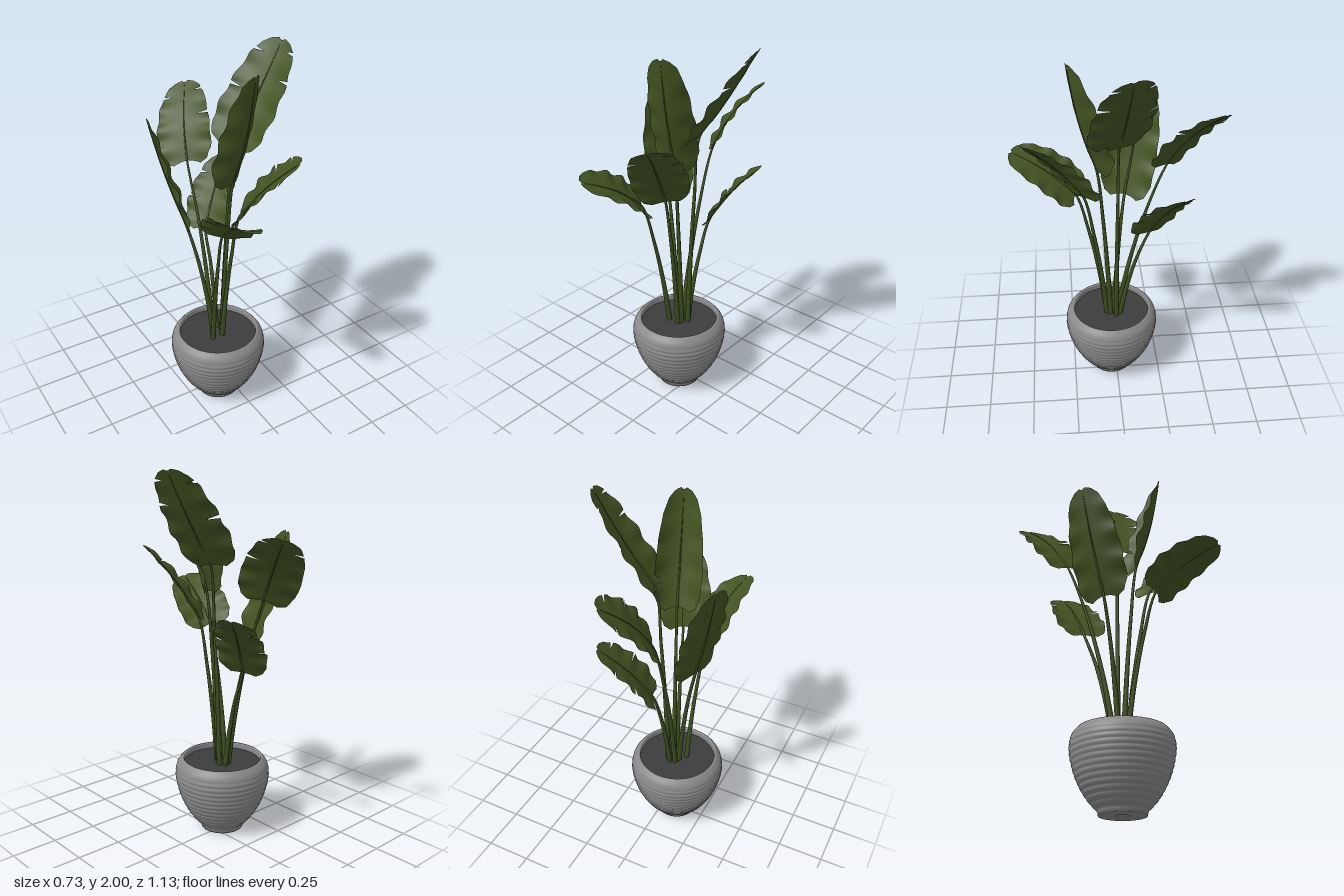
import * as THREE from 'three';

const V = (x, y, z) => new THREE.Vector3(x, y, z);
const material = (name, color, side = THREE.FrontSide) => {
  const m = new THREE.MeshStandardMaterial({ color, side });
  m.name = name;
  return m;
};

// Half-width of a blade from its base (0) to its blunt tip (1)
const OUTLINE = [[0, 0.5], [0.04, 0.78], [0.15, 0.96], [0.35, 1], [0.6, 0.92], [0.8, 0.77], [0.92, 0.57], [0.98, 0.33], [1, 0.1]];
function outline(t) {
  let i = 1;
  while (i < OUTLINE.length - 1 && OUTLINE[i][0] < t) i++;
  const [t0, w0] = OUTLINE[i - 1], [t1, w1] = OUTLINE[i];
  return THREE.MathUtils.lerp(w0, w1, (t - t0) / (t1 - t0));
}

// Local frame of a leaf: spine direction, sideways vector and upper normal
function frameOf(leaf) {
  const base = V(...leaf.base), axis = V(...leaf.tip).sub(base);
  const dir = axis.clone().normalize();
  const side = V(...leaf.side);
  side.addScaledVector(dir, -side.dot(dir)).normalize();
  const normal = new THREE.Vector3().crossVectors(side, dir);
  if (normal.y < 0) normal.negate();
  const spine = t => base.clone().addScaledVector(axis, t).addScaledVector(normal, leaf.bend * Math.sin(Math.PI * t));
  return { dir, side, normal, spine };
}

// Cupped, rippled blade with narrow tears along the edges
function bladeGeometry(leaf, f, seed) {
  const rows = 72, cols = 14, pos = [], index = [];
  for (let i = 0; i <= rows; i++) {
    const t = i / rows;
    for (let j = 0; j <= cols; j++) {
      const u = j / cols * 2 - 1;
      const torn = leaf.tears.some(s => Math.sign(s) === Math.sign(u) && Math.round(Math.abs(s) * rows) === i);
      const reach = u * leaf.width * outline(t) * (torn ? 0.55 : 1);
      const ratio = reach / leaf.width;
      const ripple = 0.01 * ratio * ratio * Math.sin(t * 25 + seed * 2 + (u > 0 ? 1.7 : 0));
      const p = f.spine(t)
        .addScaledVector(f.side, reach)
        .addScaledVector(f.normal, leaf.cup * ratio * ratio + ripple)
        .addScaledVector(f.dir, 0.03 * u * u * (t - 0.7));
      pos.push(p.x, p.y, p.z);
      if (i < rows && j < cols) {
        const k = i * (cols + 1) + j, n = k + cols + 1;
        index.push(k, k + 1, n, k + 1, n + 1, n);
      }
    }
  }
  const g = new THREE.BufferGeometry();
  g.setAttribute('position', new THREE.Float32BufferAttribute(pos, 3));
  g.setIndex(index);
  g.computeVertexNormals();
  return g;
}

// Tapered stalk that runs on as the midrib of the blade
function stalkGeometry(leaf, f) {
  const root = V(...leaf.root), base = f.spine(0);
  const along = (h, y) => V(
    THREE.MathUtils.lerp(root.x, base.x, h), THREE.MathUtils.lerp(root.y, base.y, y), THREE.MathUtils.lerp(root.z, base.z, h));
  const points = [root, along(0.24, 0.35), along(0.58, 0.7), base];
  for (const t of [0.25, 0.5, 0.75, 0.96]) points.push(f.spine(t));
  const curve = new THREE.CatmullRomCurve3(points);
  const segments = 60, sides = 8;
  const g = new THREE.TubeGeometry(curve, segments, 1, sides);
  const p = g.attributes.position, v = new THREE.Vector3();
  for (let i = 0; i <= segments; i++) {
    const s = i / segments, c = curve.getPointAt(s);
    const r = 0.0155 - 0.0138 * s;
    for (let j = 0; j <= sides; j++) {
      const k = i * (sides + 1) + j;
      v.fromBufferAttribute(p, k).sub(c).multiplyScalar(r).add(c);
      p.setXYZ(k, v.x, v.y, v.z);
    }
  }
  return g;
}

// Ribbed pot: recessed drain hole, foot, ringed wall, rounded rim, inner wall
function potGeometry() {
  const wall = new THREE.SplineCurve([
    [0.122, 0.02], [0.168, 0.07], [0.207, 0.13], [0.238, 0.2], [0.258, 0.275], [0.264, 0.335], [0.254, 0.385], [0.232, 0.415],
  ].map(p => new THREE.Vector2(...p)));
  const pts = [[0, 0.02], [0.035, 0.02], [0.035, 0], [0.118, 0]].map(p => new THREE.Vector2(...p));
  const steps = 112;
  for (let i = 0; i <= steps; i++) {
    const p = wall.getPoint(i / steps);
    const fade = THREE.MathUtils.clamp((0.39 - p.y) / 0.05, 0, 1);
    p.x += fade * (0.004 * Math.abs(Math.sin(p.y * Math.PI / 0.028)) - 0.003);
    pts.push(p);
  }
  for (const p of [[0.226, 0.421], [0.219, 0.421], [0.214, 0.415], [0.215, 0.37]]) pts.push(new THREE.Vector2(...p));
  return new THREE.LatheGeometry(pts, 64);
}

// Negative tear positions lie on one edge, positive on the other
const LEAVES = [
  { name: 'tallRightLeaf', root: [-0.03, 0.36, 0.0], base: [0.045, 1.52, -0.01], tip: [0.35, 1.99, -0.05],
    side: [0.35, 0, 1], width: 0.17, cup: 0.035, bend: -0.01, tears: [-0.85, 0.66, -0.5, 0.9] },
  { name: 'tallFrontLeaf', root: [-0.05, 0.36, 0.03], base: [-0.025, 1.36, 0.1], tip: [0.01, 1.945, 0.235],
    side: [1, 0, -0.4], width: 0.12, cup: 0.075, bend: -0.02, tears: [] },
  { name: 'backLeaf', root: [-0.08, 0.36, -0.01], base: [-0.08, 1.35, -0.27], tip: [0.06, 1.68, -0.53],
    side: [1, 0.85, 0.4], width: 0.155, cup: 0.01, bend: 0.03, tears: [0.55, -0.8, 0.86] },
  { name: 'lowBackLeaf', root: [-0.05, 0.36, -0.02], base: [-0.025, 0.965, -0.18], tip: [0.2, 1.29, -0.33],
    side: [0.4, 0, 1], width: 0.138, cup: 0.02, bend: 0.02, tears: [0.5, -0.72, 0.82, -0.4] },
  { name: 'leftLeaf', root: [-0.09, 0.36, 0.01], base: [-0.21, 1.1, -0.06], tip: [-0.35, 1.67, -0.17],
    side: [-0.38, 0, 1], width: 0.147, cup: 0.03, bend: -0.01, tears: [] },
  { name: 'frontRightLeaf', root: [-0.06, 0.36, 0.05], base: [-0.03, 1.2, 0.17], tip: [0.12, 1.58, 0.45],
    side: [1, 0.6, -0.4], width: 0.145, cup: 0.02, bend: 0.02, tears: [0.62, -0.78, 0.85] },
  { name: 'frontLeftLeaf', root: [-0.12, 0.36, 0.05], base: [-0.155, 1.145, 0.21], tip: [-0.24, 1.37, 0.54],
    side: [1, -0.45, 0.26], width: 0.14, cup: 0.02, bend: 0.03, tears: [] },
];

export function createModel() {
  const leafGreen = material('leaf green', 0x435422, THREE.DoubleSide);
  const stalkGreen = material('stalk green', 0x3e501f);
  const potGrey = material('pot grey', 0x8a8a8a);
  const soilDark = material('soil dark', 0x3c3c3c);

  const model = new THREE.Group();
  model.name = 'pottedPlant';
  const add = (parent, name, geometry, mat) => {
    const mesh = new THREE.Mesh(geometry, mat);
    mesh.name = name;
    parent.add(mesh);
    return mesh;
  };

  // Pot and soil
  const potGroup = new THREE.Group();
  potGroup.name = 'planter';
  potGroup.position.set(-0.073, 0, 0.026);
  add(potGroup, 'pot', potGeometry(), potGrey);
  const soil = add(potGroup, 'soil', new THREE.CircleGeometry(0.215, 64), soilDark);
  soil.rotation.x = -Math.PI / 2;
  soil.position.y = 0.388;
  model.add(potGroup);

  // Leaves, each with its stalk
  LEAVES.forEach((leaf, i) => {
    const group = new THREE.Group();
    group.name = leaf.name;
    const f = frameOf(leaf);
    add(group, 'blade', bladeGeometry(leaf, f, i), leafGreen);
    add(group, 'stalk', stalkGeometry(leaf, f), stalkGreen);
    model.add(group);
  });
  return model;
}
